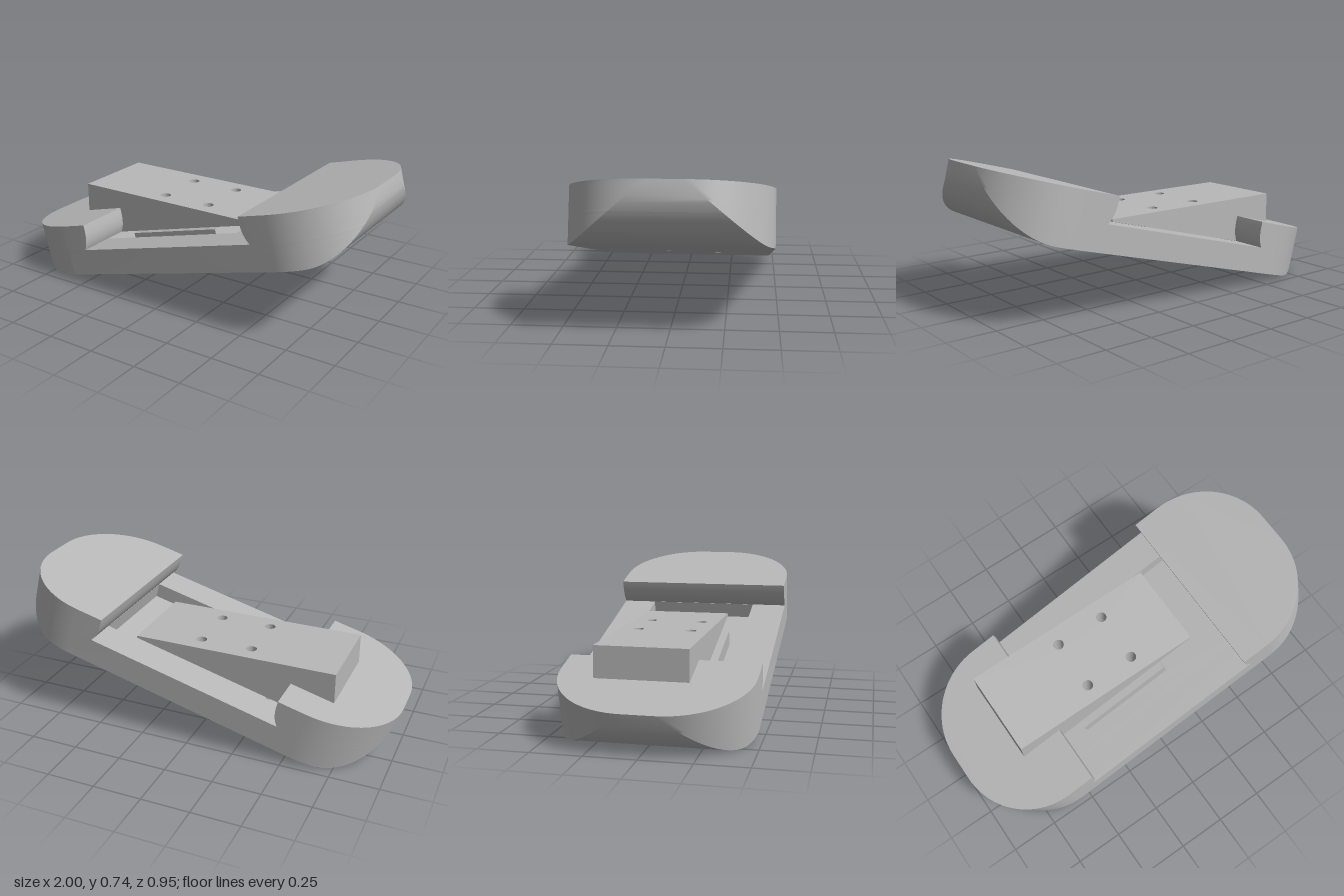
import * as THREE from 'three';
import { mergeGeometries, toCreasedNormals } from 'three/addons/utils/BufferGeometryUtils.js';

const TILT = Math.PI / 12, S = Math.sin(TILT), C = Math.cos(TILT);
const TOP = 0.457, R = 0.272, FLOOR = 0.321, POCKET = 0.24;   // heights above the tilted datum
const LEFT = -0.642, RIGHT = 0.876;                           // centres of the rounded undersides
const CORNER = 0.4, HALF = 0.477;
const PLATE_Y = 0.443;

// A loop is a list of [x, z]; these lift it onto a tilted or level plane.
const tilted = (v) => ([x, z]) => new THREE.Vector3(x, (v + x * S) / C, z);
const level = (y) => ([x, z]) => new THREE.Vector3(x, y, z);
const toX = (u, v) => u * C - v * S;

function fromPoints(points) {
  const g = new THREE.BufferGeometry().setFromPoints(points);
  g.computeVertexNormals();
  return g;
}

// Flat face with holes, facing up or down
function cap(loop, holes, lift, up) {
  const v2 = (l) => l.map(([x, z]) => new THREE.Vector2(x, z));
  const flat = [loop, ...holes].flat();
  const points = [];
  for (const [i, j, k] of THREE.ShapeUtils.triangulateShape(v2(loop), holes.map(v2))) {
    const [a, b, c] = [flat[i], flat[j], flat[k]];
    const area = (b[0] - a[0]) * (c[1] - a[1]) - (b[1] - a[1]) * (c[0] - a[0]);
    const tri = (area < 0) === up ? [a, b, c] : [a, c, b];
    points.push(...tri.map(lift));
  }
  return fromPoints(points);
}

// Wall through a stack of 3D loops, lowest first
function wall(rings) {
  const points = [];
  for (let r = 0; r + 1 < rings.length; r++) {
    const lo = rings[r], hi = rings[r + 1];
    lo.forEach((a, i) => {
      const j = (i + 1) % lo.length;
      points.push(a, lo[j], hi[j], a, hi[j], hi[i]);
    });
  }
  return toCreasedNormals(fromPoints(points), Math.PI / 7);
}

// Half of a rounded plan end: from the cut at distance d beyond the underside centre
function corner(d, n = 20) {
  const start = Math.asin(Math.min(1, (d + CORNER - R) / CORNER));
  return Array.from({ length: n + 1 }, (_, i) => {
    const t = start * (1 - i / n);
    return [R - CORNER + CORNER * Math.sin(t), HALF - CORNER + CORNER * Math.cos(t)];
  });
}

// Plan outline at height v; a number for an end means a straight cut there
function outline(v, leftCut, rightCut) {
  const k = Math.min(1, (TOP - v) / R);
  const d = R * Math.sqrt(Math.max(0, 1 - k * k));
  const left = leftCut !== undefined ? [[leftCut, HALF]]
    : corner(d).map(([o, z]) => [LEFT - o, z]);
  const right = rightCut !== undefined ? [[rightCut, HALF]]
    : corner(d).reverse().map(([o, z]) => [RIGHT + o, z]);
  const front = [...left, ...right].map(([u, z]) => [toX(u, v), z]);
  return [...front, ...front.map(([x, z]) => [x, -z]).reverse()];
}

const heights = (from, to, n) => Array.from({ length: n + 1 }, (_, i) =>
  TOP - R * Math.cos(from + (to - from) * i / n));

// Screw holes, all vertical
const screwHoles = [];
for (const x of [-0.23, 0.045]) for (const z of [-0.195, 0.08]) {
  screwHoles.push(Array.from({ length: 24 }, (_, i) => {
    const t = i / 24 * Math.PI * 2;
    return [x + 0.028 * Math.cos(t), z + 0.028 * Math.sin(t)];
  }));
}

// U-shaped pocket around the central mounting block
const pocketLoop = (v) => [
  [-0.406, -0.3], [-0.276, -0.3], [-0.276, 0.21], [0.262, 0.21],
  [0.262, -0.3], [0.635, -0.3], [0.635, 0.29], [-0.406, 0.29],
].map(([u, z]) => [toX(u, v), z]);

function baseGeometry() {
  const vs = heights(0, Math.PI / 3, 16);
  const bottom = vs[0];
  return mergeGeometries([
    wall(vs.map((v) => outline(v).map(tilted(v)))),
    cap(outline(bottom), screwHoles, tilted(bottom), false),
    cap(outline(FLOOR), [pocketLoop(FLOOR), ...screwHoles], tilted(FLOOR), true),
    cap(pocketLoop(POCKET), [], tilted(POCKET), true),
    wall([pocketLoop(POCKET).map(tilted(POCKET)), pocketLoop(FLOOR).map(tilted(FLOOR))]),
    ...screwHoles.map((h) => wall([h.map(tilted(bottom)), h.map(tilted(FLOOR))])),
  ]);
}

// Raised end block with a curved, undercut inner wall
function endBlock(isRight) {
  const vs = heights(Math.PI / 3, Math.PI / 2, 10);
  const loop = (v) => {
    const under = 0.033 * Math.pow(1 - (v - FLOOR) / (TOP - FLOOR), 3);
    return isRight ? outline(v, 0.604 + under) : outline(v, undefined, -0.37 - under);
  };
  return mergeGeometries([
    wall(vs.map((v) => loop(v).map(tilted(v)))),
    cap(loop(TOP), [], tilted(TOP), true),
  ]);
}

// Wedge with a level top, resting on the mounting block
function wedgeGeometry() {
  const rect = [[-0.7, 0.17], [0.37, 0.17], [0.37, -0.29], [-0.7, -0.29]];
  const lo = tilted(FLOOR), hi = level(PLATE_Y);
  return mergeGeometries([
    wall([rect.map(lo), rect.map(hi)]),
    cap(rect, screwHoles, hi, true),
    cap(rect, screwHoles, lo, false),
    ...screwHoles.map((h) => wall([h.map(lo), h.map(hi)])),
  ]);
}

export function createModel() {
  const grey = new THREE.MeshStandardMaterial({ color: 0xb8b8b8 });
  grey.name = 'grey';
  const model = new THREE.Group();
  model.name = 'tiltedMount';
  const parts = {
    base: baseGeometry(),
    lowEndBlock: endBlock(false),
    highEndBlock: endBlock(true),
    wedge: wedgeGeometry(),
  };
  for (const [name, geometry] of Object.entries(parts)) {
    const mesh = new THREE.Mesh(geometry, grey);
    mesh.name = name;
    mesh.position.y = -0.003;
    model.add(mesh);
  }
  return model;
}
